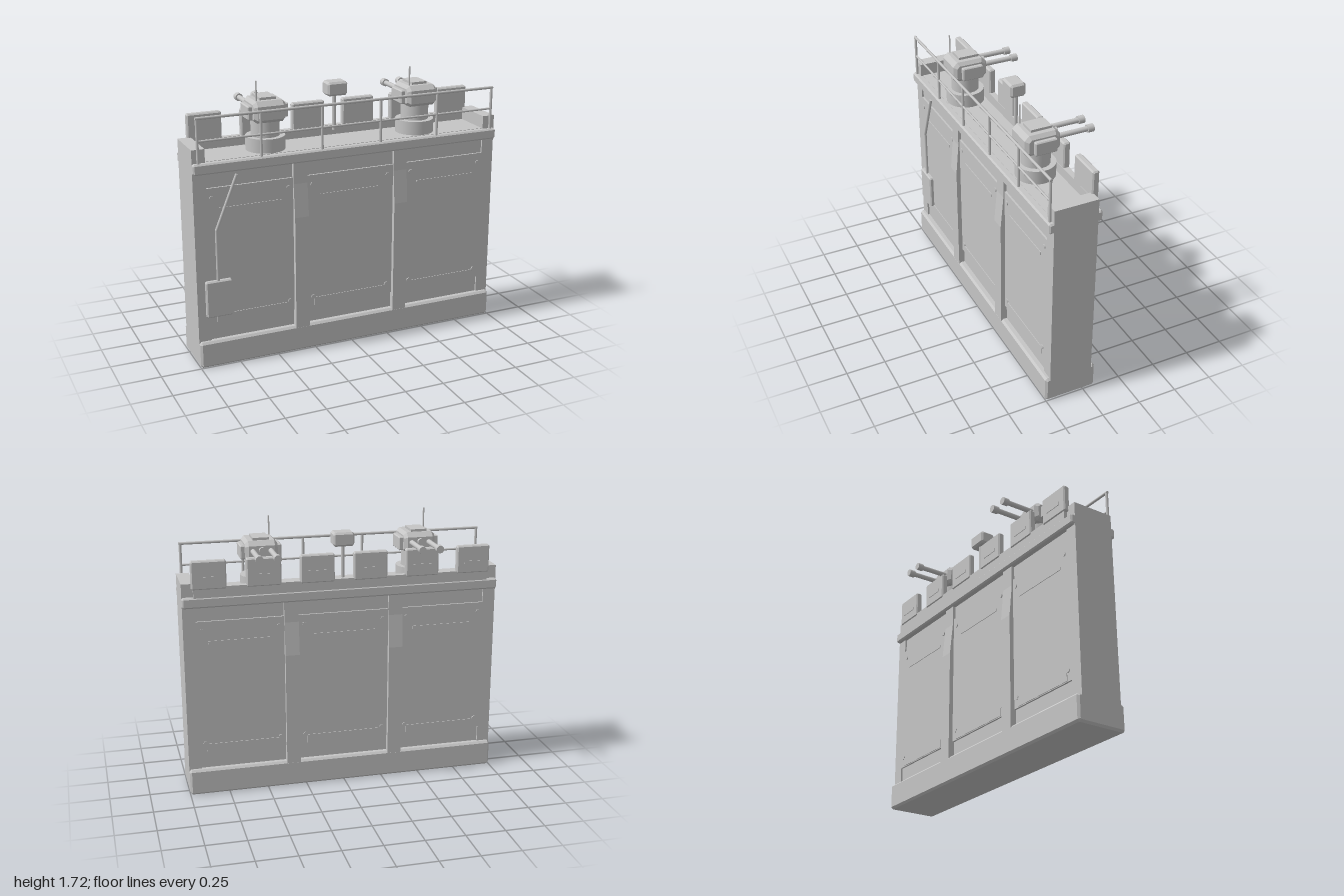
import * as THREE from 'three';

const steel = new THREE.MeshStandardMaterial({ color: 0xc5c5c5 });
steel.name = 'light steel grey';

const MID = 0.0875; // middle of the wall's thickness

function add(parent, name, geometry, x = 0, y = 0, z = 0) {
  const mesh = new THREE.Mesh(geometry, steel);
  mesh.name = name;
  mesh.position.set(x, y, z);
  parent.add(mesh);
  return mesh;
}

// Plain box given by its limits
function box(parent, name, x0, x1, y0, y1, z0, z1) {
  return add(parent, name, new THREE.BoxGeometry(x1 - x0, y1 - y0, z1 - z0),
    (x0 + x1) / 2, (y0 + y1) / 2, (z0 + z1) / 2);
}

// Side profile of (z, y) points extruded along x and centred on x = 0
function extrudeX(points, width, bevel = 0) {
  const shape = new THREE.Shape(points.map(p => new THREE.Vector2(p[0], p[1])));
  const g = new THREE.ExtrudeGeometry(shape, {
    depth: width - 2 * bevel, bevelEnabled: bevel > 0, bevelSize: bevel,
    bevelThickness: bevel, bevelOffset: -bevel, bevelSegments: 1,
  });
  g.translate(0, 0, -(width - 2 * bevel) / 2);
  g.rotateY(-Math.PI / 2);
  return g;
}

// Box with all edges chamfered, given by its limits
function chamferBox(parent, name, x0, x1, y0, y1, z0, z1, c) {
  const h = (y1 - y0) / 2, d = (z1 - z0) / 2;
  const pts = [[-d + c, -h], [d - c, -h], [d, -h + c], [d, h - c],
    [d - c, h], [-d + c, h], [-d, h - c], [-d, -h + c]];
  return add(parent, name, extrudeX(pts, x1 - x0, c),
    (x0 + x1) / 2, (y0 + y1) / 2, (z0 + z1) / 2);
}

// Round bar between two points
function bar(parent, name, a, b, r, sides = 8) {
  const from = new THREE.Vector3(...a), to = new THREE.Vector3(...b);
  const dir = to.clone().sub(from);
  const m = add(parent, name, new THREE.CylinderGeometry(r, r, dir.length(), sides));
  m.position.copy(from).add(to).multiplyScalar(0.5);
  m.quaternion.setFromUnitVectors(new THREE.Vector3(0, 1, 0), dir.normalize());
  return m;
}

function makeWall() {
  const wall = new THREE.Group();
  wall.name = 'wall';
  chamferBox(wall, 'basePlinth', -1, 1, 0, 0.167, -0.078, 0.253, 0.013);
  box(wall, 'core', -0.93, 0.93, 0.15, 1.29, MID - 0.126, MID + 0.126);
  box(wall, 'panelSlab', -0.93, 0.93, 0.27, 1.13, MID - 0.1375, MID + 0.1375);
  chamferBox(wall, 'ledge', -1, 1, 1.222, 1.288, -0.078, 0.253, 0.009);
  for (const s of [-1, 1]) {
    box(wall, 'endColumn', s * 0.96 - 0.04, s * 0.96 + 0.04, 0.15, 1.37, MID - 0.1375, MID + 0.1375);
  }

  // Pillars that lean in towards the top on both faces
  const half = [[0.165, 0.15], [0.165, 0.88], [0.146, 1.09], [0.146, 1.23]];
  const profile = [...half, ...half.map(([z, y]) => [-z, y]).reverse()];
  for (const x of [-0.335, 0.332]) add(wall, 'pillar', extrudeX(profile, 0.09), x, 0, MID);

  // Raised slots, kick strips and bolts on both faces
  const bays = [[-0.92, -0.38], [-0.285, 0.28], [0.38, 0.92]];
  for (const s of [-1, 1]) {
    const z = MID + s * 0.1385;
    for (const [x0, x1] of bays) {
      const mid = (x0 + x1) / 2;
      box(wall, 'panelSlot', mid - 0.2, mid + 0.2, 0.985, 1.005, z - 0.003, z + 0.003);
      box(wall, 'kickStrip', x0 + 0.04, x1 - 0.04, 0.275, 0.33, z - 0.003, z + 0.003);
      for (const x of [x0 + 0.03, x1 - 0.03]) {
        for (const y of [0.335, 1.07]) {
          bar(wall, 'bolt', [x, y, z - 0.005], [x, y, z + 0.005], 0.014, 12);
        }
      }
    }
  }

  // Control box with its conduit
  chamferBox(wall, 'controlBox', -0.95, -0.785, 0.322, 0.555, 0.215, 0.25, 0.008);
  const path = [[-0.87, 0.55, 0.235], [-0.87, 0.87, 0.235], [-0.735, 1.2, 0.235]];
  for (let i = 0; i < 2; i++) bar(wall, 'conduit', path[i], path[i + 1], 0.01);
  add(wall, 'conduitElbow', new THREE.SphereGeometry(0.01, 8, 6), ...path[1]);
  return wall;
}

function makeBattlements() {
  const g = new THREE.Group();
  g.name = 'battlements';
  box(g, 'parapet', -0.93, 0.93, 1.28, 1.35, -0.073, -0.036);
  for (const x of [-0.835, -0.5, -0.168, 0.168, 0.5, 0.835]) {
    chamferBox(g, 'merlon', x - 0.107, x + 0.107, 1.335, 1.512, -0.079, -0.037, 0.008);
    box(g, 'merlonSlot', x - 0.06, x + 0.06, 1.395, 1.415, -0.083, -0.077);
  }
  return g;
}

function makeRailing() {
  const g = new THREE.Group();
  g.name = 'railing';
  const z = 0.235;
  for (let i = 0; i < 6; i++) {
    const x = -0.965 + i * 0.386;
    bar(g, 'railPost', [x, 1.28, z], [x, 1.555, z], 0.009);
  }
  bar(g, 'topRail', [-0.974, 1.555, z], [0.974, 1.555, z], 0.009);
  bar(g, 'middleRail', [-0.965, 1.42, z], [0.965, 1.42, z], 0.007);
  return g;
}

function makeTurret(x) {
  const g = new THREE.Group();
  g.name = 'turret';
  const z = 0.087;
  add(g, 'collar', new THREE.CylinderGeometry(0.12, 0.12, 0.09, 32), 0, 1.33, z);
  add(g, 'neck', new THREE.CylinderGeometry(0.087, 0.087, 0.12, 32), 0, 1.43, z);

  // Faceted head with cheek boxes and hatch
  const head = [[-0.005, 1.47], [0.175, 1.47], [0.198, 1.49], [0.198, 1.572],
    [0.17, 1.6], [0.005, 1.6], [-0.025, 1.572], [-0.025, 1.49]];
  add(g, 'head', extrudeX(head, 0.2, 0.02));
  for (const s of [-1, 1]) {
    chamferBox(g, 'cheek', s * 0.105 - 0.022, s * 0.105 + 0.022, 1.485, 1.57, 0.012, 0.15, 0.006);
  }
  box(g, 'hatch', -0.05, 0.05, 1.59, 1.615, 0.012, 0.145);

  // Twin barrels
  for (const s of [-1, 1]) {
    const bx = s * 0.055;
    bar(g, 'barrel', [bx, 1.54, 0.02], [bx, 1.54, -0.24], 0.016, 16);
    bar(g, 'muzzle', [bx, 1.54, -0.21], [bx, 1.54, -0.25], 0.024, 12);
  }
  bar(g, 'sight', [0, 1.545, 0], [0, 1.545, -0.045], 0.02, 16);
  bar(g, 'antenna', [-0.075, 1.56, 0.153], [-0.075, 1.72, 0.153], 0.005, 6);
  g.position.x = x;
  return g;
}

function makeSensor() {
  const g = new THREE.Group();
  g.name = 'sensorMast';
  bar(g, 'mast', [0, 1.32, -0.03], [0, 1.56, -0.03], 0.012, 10);
  chamferBox(g, 'sensorHead', -0.066, 0.066, 1.548, 1.635, -0.068, 0.033, 0.012);
  return g;
}

export function createModel() {
  const model = new THREE.Group();
  model.name = 'fortifiedWall';
  model.add(makeWall(), makeBattlements(), makeRailing(), makeTurret(-0.5), makeTurret(0.5), makeSensor());
  return model;
}
